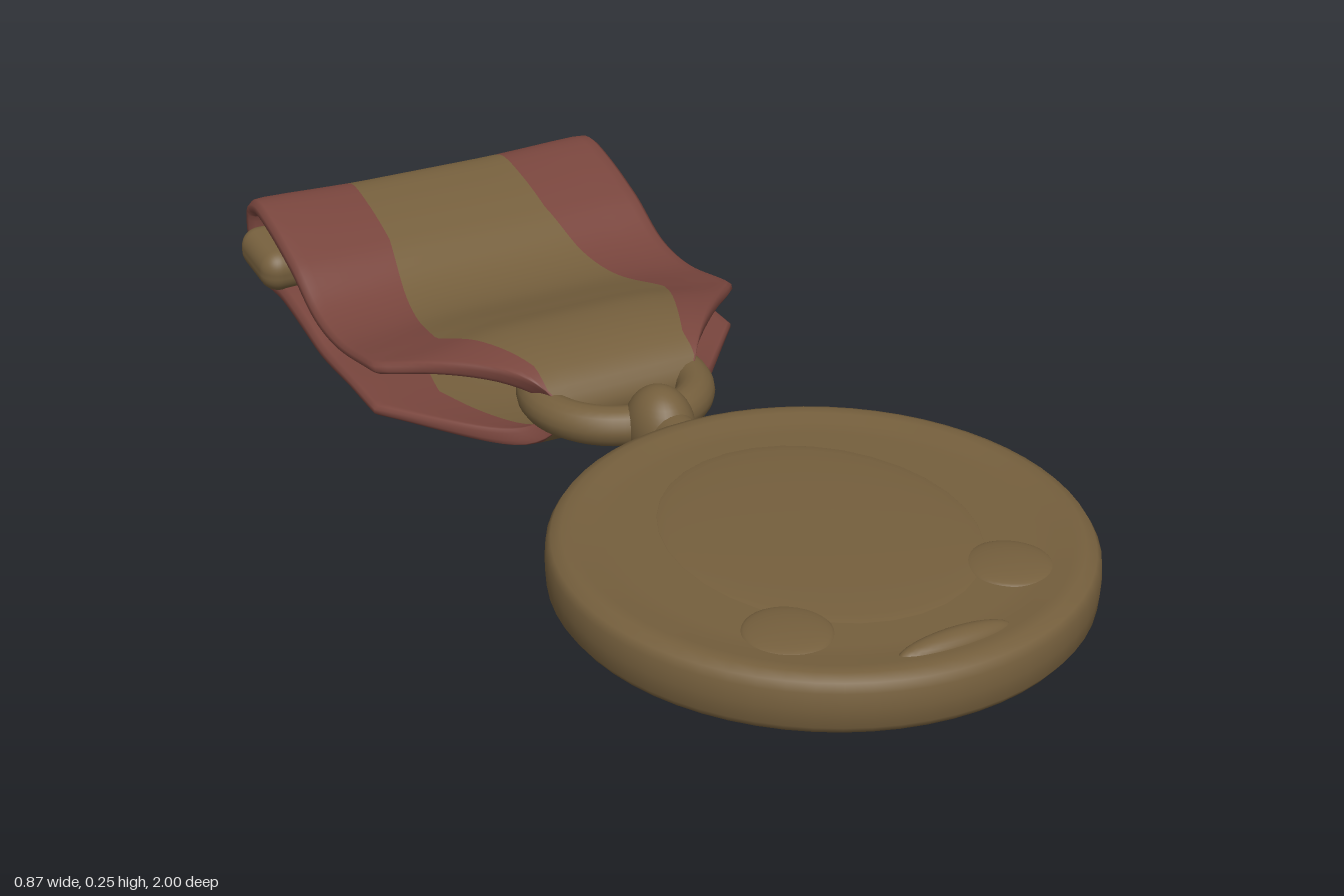
import * as THREE from 'three';
import { RoundedBoxGeometry } from 'three/addons/geometries/RoundedBoxGeometry.js';

const bronze = new THREE.MeshStandardMaterial({ color: 0x755f3d });
bronze.name = 'bronze';
const red = new THREE.MeshStandardMaterial({ color: 0x78453d });
red.name = 'dark red';

const { clamp, smoothstep, lerp } = THREE.MathUtils;

// Outer outline of the folded ribbon seen from the side, as [z, y]
const OUTLINE = [
  [-0.08, 0.1], [-0.105, 0.15], [-0.17, 0.183], [-0.28, 0.193], [-0.39, 0.165],
  [-0.53, 0.132], [-0.63, 0.142], [-0.74, 0.195], [-0.85, 0.232], [-0.945, 0.245],
  [-0.99, 0.22], [-1, 0.16], [-0.985, 0.105], [-0.93, 0.072], [-0.81, 0.077],
  [-0.71, 0.06], [-0.6, 0.03], [-0.44, 0.01], [-0.27, 0.003], [-0.145, 0.025], [-0.1, 0.06],
];
const THICKNESS = 0.034;
const SAMPLES = 110;

// Half width of the central stripe along z
const STRIPE = [[-1, 0.165], [-0.75, 0.17], [-0.6, 0.2], [-0.38, 0.24], [-0.25, 0.19], [-0.15, 0.15], [0, 0.15]];

function tableValue(table, z) {
  for (let i = 1; i < table.length; i++) {
    const [z0, v0] = table[i - 1], [z1, v1] = table[i];
    if (z <= z1) return lerp(v0, v1, clamp((z - z0) / (z1 - z0), 0, 1));
  }
  return table[table.length - 1][1];
}

const halfWidth = (z) => lerp(0.377, 0.14, clamp((z + 0.36) / 0.27, 0, 1));

// |t| from 0 to 1 crosses the central stripe, from 1 to 2 the side stripe
function acrossX(t, z) {
  const w = halfWidth(z);
  const s = Math.min(tableValue(STRIPE, z), w - 0.004);
  const a = Math.abs(t);
  return Math.sign(t) * (a <= 1 ? a * s : lerp(s, w, a - 1));
}

// Sweeps a row of [t, depth] points around the ribbon outline
function ribbonStrip(row) {
  const curve = new THREE.CatmullRomCurve3(OUTLINE.map(([z, y]) => new THREE.Vector3(0, y, z)), true);
  const positions = [], index = [], n = row.length;
  const axis = new THREE.Vector3(1, 0, 0);
  for (let i = 0; i < SAMPLES; i++) {
    const p = curve.getPointAt(i / SAMPLES);
    const normal = axis.clone().cross(curve.getTangentAt(i / SAMPLES));
    for (const [t, depth] of row) {
      const x = acrossX(t, p.z);
      const q = p.clone().addScaledVector(normal, -depth * THICKNESS);
      // The edges pinch together near the ring and lift slightly at the top
      const edge = smoothstep(Math.abs(x), 0.12, 0.37);
      const pinch = 0.36 * edge * smoothstep(p.z, -0.75, -0.45);
      q.y += (0.1 - q.y) * pinch + 0.007 * edge * smoothstep(-p.z, 0.75, 0.95);
      positions.push(x, q.y, q.z);
    }
    const next = (i + 1) % SAMPLES;
    for (let j = 0; j < n - 1; j++) {
      const a = i * n + j, d = next * n + j;
      index.push(a, a + 1, d + 1, a, d + 1, d);
    }
  }
  const geometry = new THREE.BufferGeometry();
  geometry.setAttribute('position', new THREE.Float32BufferAttribute(positions, 3));
  geometry.setIndex(index);
  geometry.computeVertexNormals();
  return geometry;
}

export function createModel() {
  const model = new THREE.Group();
  model.name = 'medal';
  const add = (name, geometry, material, x = 0, y = 0, z = 0) => {
    const mesh = new THREE.Mesh(geometry, material);
    mesh.name = name;
    mesh.position.set(x, y, z);
    model.add(mesh);
    return mesh;
  };

  // Round medallion with a soft raised rim
  const profile = [
    [0, 0.07], [0.3, 0.07], [0.405, 0.071], [0.425, 0.076], [0.435, 0.09], [0.437, 0.12],
    [0.435, 0.148], [0.427, 0.161], [0.41, 0.168], [0.39, 0.168], [0.365, 0.162], [0.33, 0.16], [0, 0.16],
  ].map(([r, y]) => new THREE.Vector2(r, y));
  add('medallion', new THREE.LatheGeometry(profile, 64), bronze, 0, 0, 0.56);

  // Worn low relief on the face
  const relief = (name, x, z, rx, ry, rz) =>
    add(name, new THREE.SphereGeometry(1, 32, 16), bronze, x, 0.158, z).scale.set(rx, ry, rz);
  relief('centralRelief', 0, 0.55, 0.25, 0.012, 0.29);
  relief('lowerRelief', 0, 0.92, 0.1, 0.022, 0.025);
  for (const side of [-1, 1]) relief('sideRelief', side * 0.2, 0.78, 0.07, 0.012, 0.07);

  // Knob and neck joining the medallion to the ring
  add('knob', new THREE.SphereGeometry(1, 32, 20), bronze, 0, 0.105, 0.035).scale.set(0.06, 0.076, 0.072);
  add('neck', new THREE.CylinderGeometry(0.042, 0.042, 0.08, 24).rotateX(Math.PI / 2), bronze, 0, 0.11, 0.1);

  // Suspension ring passing through the ribbon fold
  add('ring', new THREE.TorusGeometry(0.144, 0.036, 16, 48).rotateX(Math.PI / 2), bronze, 0, 0.105, -0.13);

  // Ribbon: bronze centre stripe and red side stripes with rounded edges
  const centre = [-1, -0.75, -0.5, -0.25, 0, 0.25, 0.5, 0.75, 1];
  add('ribbonCentreOuter', ribbonStrip(centre.map((t) => [t, 0])), bronze);
  add('ribbonCentreInner', ribbonStrip(centre.map((t) => [-t, 1])), bronze);
  const sideRow = [
    [1, 0], [1.3, 0], [1.6, 0], [1.85, 0], [1.95, 0.05], [2, 0.3],
    [2, 0.7], [1.95, 0.95], [1.85, 1], [1.6, 1], [1.3, 1], [1, 1],
  ];
  add('ribbonLeftStripe', ribbonStrip(sideRow), red);
  add('ribbonRightStripe', ribbonStrip(sideRow.map(([t, d]) => [-t, d]).reverse()), red);

  // Pin bar held in the upper fold
  const bar = add('pinBar', new RoundedBoxGeometry(0.82, 0.085, 0.165, 5, 0.038), bronze, 0, 0.15, -0.883);
  bar.rotation.x = 0.12;

  return model;
}
